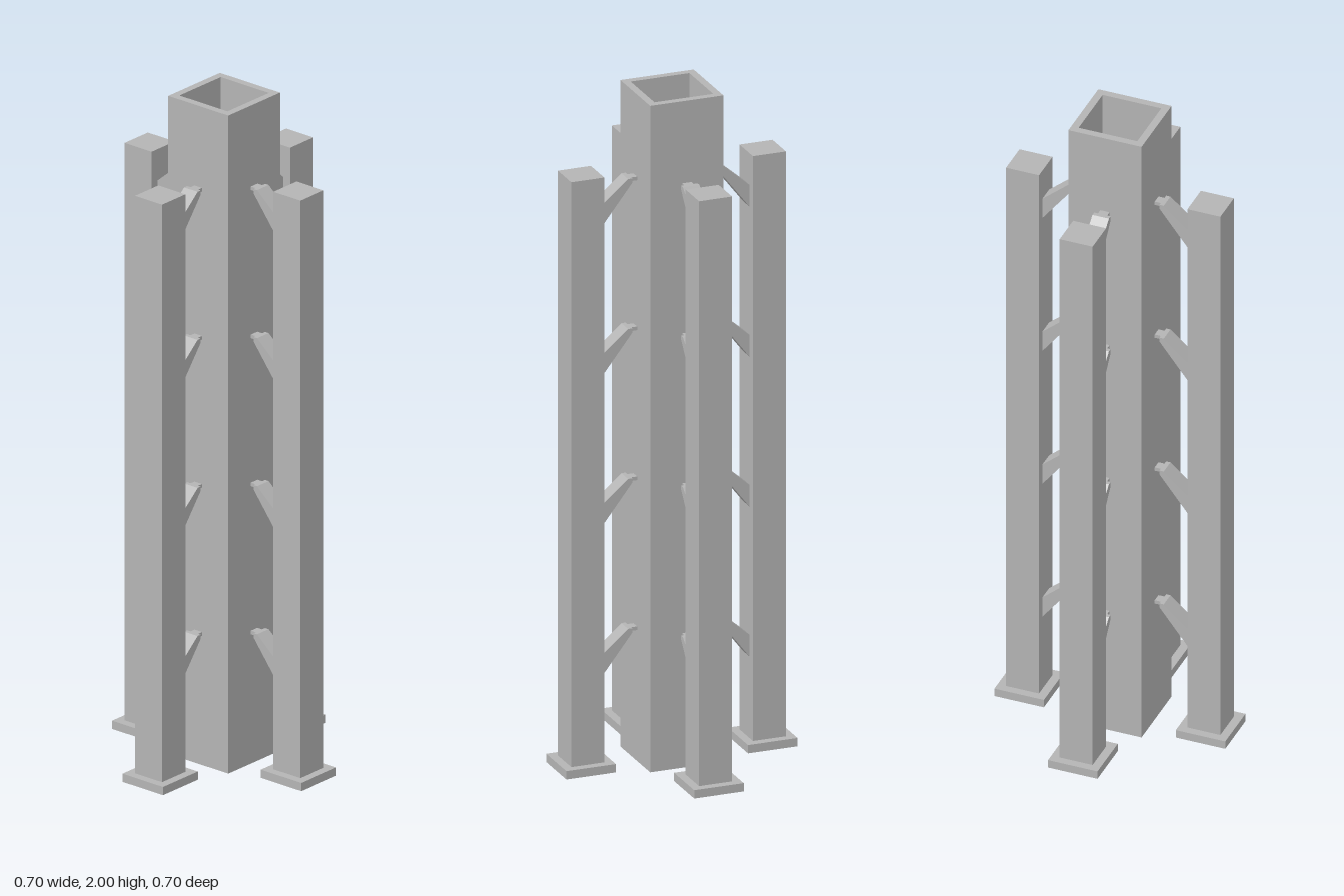
import * as THREE from 'three';
import { mergeVertices } from 'three/addons/utils/BufferGeometryUtils.js';

const OUTER = 0.111, INNER = 0.089, FLOOR = 0.05, SEGMENTS = 48;

export function createModel() {
  const model = new THREE.Group();
  model.name = 'supportedTower';
  const grey = new THREE.MeshStandardMaterial({ color: 0xb4b4b4 });
  grey.name = 'light grey';

  const add = (parent, name, geometry, x = 0, y = 0, z = 0) => {
    const mesh = new THREE.Mesh(geometry, grey);
    mesh.name = name;
    mesh.position.set(x, y, z);
    parent.add(mesh);
    return mesh;
  };
  const square = (h) => new THREE.Shape([
    new THREE.Vector2(-h, -h), new THREE.Vector2(h, -h),
    new THREE.Vector2(h, h), new THREE.Vector2(-h, h),
  ]);
  const plateWithHole = (cx, rx, rz) => {
    const shape = square(INNER);
    shape.holes.push(new THREE.Path().absellipse(cx, 0, rx, rz, 0, Math.PI * 2, true));
    return new THREE.ShapeGeometry(shape, SEGMENTS / 2);
  };

  // Hollow square tower, open at the top
  const ring = square(OUTER);
  ring.holes.push(square(INNER));
  const walls = new THREE.ExtrudeGeometry(ring, { depth: 2, bevelEnabled: false });
  add(model, 'towerWalls', walls.rotateX(-Math.PI / 2));

  // Floor pierced by an off-centre funnel
  const low = { cx: 0, rx: 0.045, rz: 0.045 };
  const high = { cx: 0.0215, rx: 0.0665, rz: 0.07 };
  add(model, 'towerUnderside', plateWithHole(low.cx, low.rx, low.rz).rotateX(Math.PI / 2));
  add(model, 'towerFloor', plateWithHole(high.cx, high.rx, high.rz).rotateX(-Math.PI / 2), 0, FLOOR);

  let funnel = new THREE.CylinderGeometry(1, 1, FLOOR, SEGMENTS, 1, true);
  funnel.scale(-1, 1, 1); // mirrored so that the faces look inwards
  const p = funnel.attributes.position;
  for (let i = 0; i < p.count; i++) {
    const e = p.getY(i) > 0 ? high : low;
    p.setXYZ(i, e.cx + p.getX(i) * e.rx, p.getY(i) + FLOOR / 2, p.getZ(i) * e.rz);
  }
  funnel.deleteAttribute('uv');
  funnel.deleteAttribute('normal');
  funnel = mergeVertices(funnel);
  funnel.computeVertexNormals();
  add(model, 'funnel', funnel);

  // Tapered strut profile, measured from its upper edge
  const strutShape = new THREE.Shape([
    [0.13, -0.013], [0.227, -0.138], [0.227, -0.072], [0.143, 0], [0.13, 0],
  ].map(([x, y]) => new THREE.Vector2(x, y)));
  const strut = new THREE.ExtrudeGeometry(strutShape, { depth: 0.05, bevelEnabled: false });
  strut.translate(0, 0, -0.025);
  const pin = new THREE.BoxGeometry(0.024, 0.011, 0.028);
  const post = new THREE.BoxGeometry(0.1, 1.755, 0.1);
  const foot = new THREE.BoxGeometry(0.15, 0.025, 0.15);

  // Four posts around the tower, each tied to it by four struts
  for (let side = 0; side < 4; side++) {
    const support = new THREE.Group();
    support.name = 'support' + (side + 1);
    support.rotation.y = side * Math.PI / 2;
    add(support, 'foot', foot, 0.275, 0.0125);
    add(support, 'post', post, 0.275, 0.9025);
    for (let level = 0; level < 4; level++) {
      const y = 0.405 + level * 0.45;
      add(support, 'strut', strut, 0, y);
      add(support, 'pin', pin, 0.121, y - 0.0065);
    }
    model.add(support);
  }
  return model;
}
